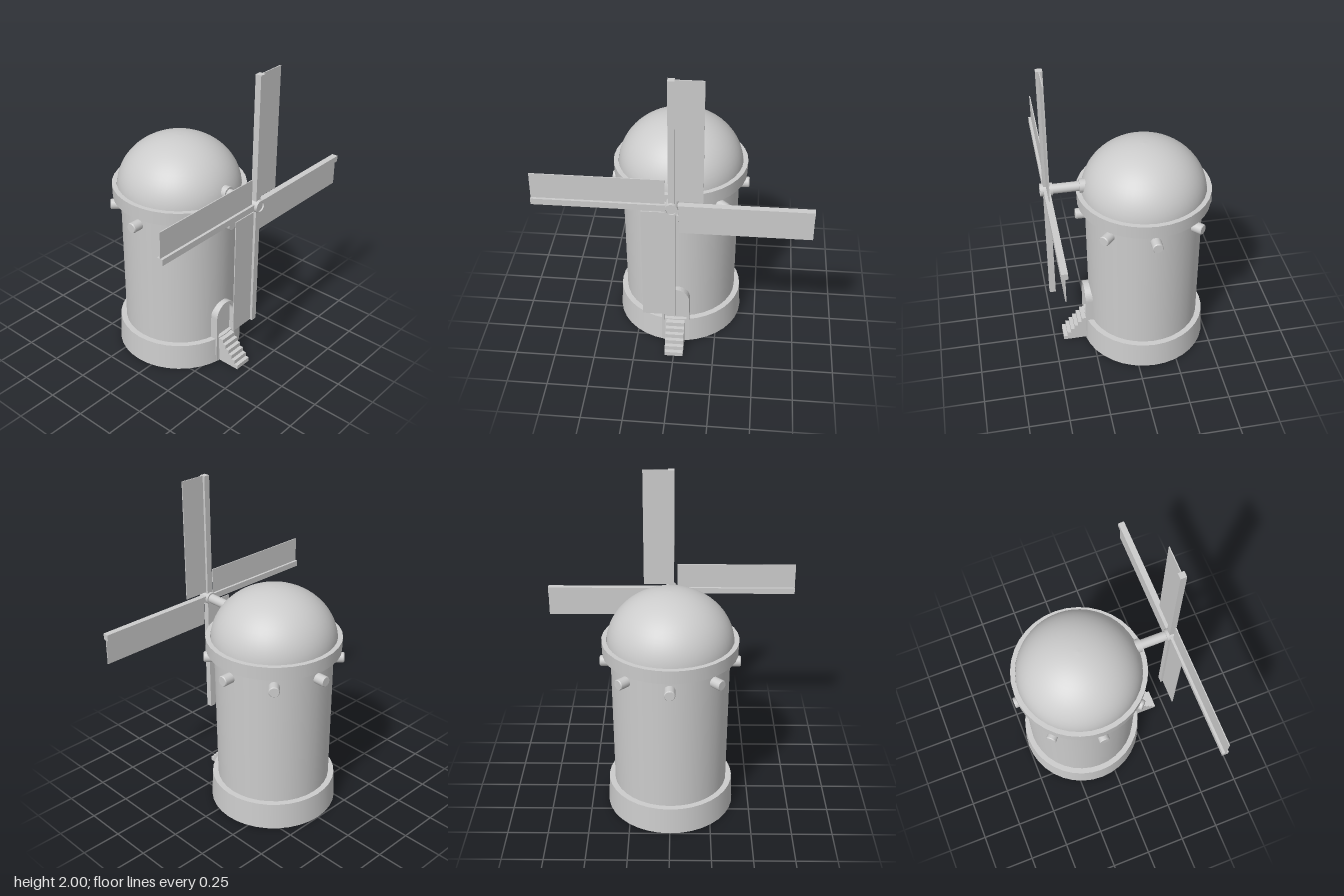
import * as THREE from 'three';

export function createModel() {
  const model = new THREE.Group();
  model.name = 'windmill';
  const plaster = new THREE.MeshStandardMaterial({ color: 0xcccccc, side: THREE.DoubleSide });
  plaster.name = 'pale grey';

  const AXIS_Z = -0.1; // tower axis
  const AXLE_Y = 1.2;

  const add = (name, geometry, parent = model, x = 0, y = 0, z = 0) => {
    const mesh = new THREE.Mesh(geometry, plaster);
    mesh.name = name;
    mesh.position.set(x, y, z);
    parent.add(mesh);
    return mesh;
  };
  const group = (name, parent = model) => {
    const g = new THREE.Group();
    g.name = name;
    parent.add(g);
    return g;
  };
  // Turned part with a hard edge at every profile point
  const turned = (name, profile, parent, segments = 36) => {
    const g = group(name, parent);
    for (let i = 0; i < profile.length - 1; i++) {
      const pair = [profile[i], profile[i + 1]].map(([r, y]) => new THREE.Vector2(r, y));
      add(name + 'Face', new THREE.LatheGeometry(pair, segments), g);
    }
    return g;
  };

  // Tower body, open underneath
  const tower = group('tower');
  tower.position.z = AXIS_Z;
  turned('base', [[0.398, 0], [0.39, 0.175], [0.354, 0.175]], tower);
  turned('wall', [[0.354, 0.175], [0.362, 1.065]], tower);
  turned('rim', [[0.362, 1.065], [0.41, 1.065], [0.413, 1.15], [0.384, 1.15], [0.384, 1.125]], tower);

  // Domed cap
  const dome = [];
  for (let i = 0; i <= 16; i++) {
    const a = (i / 16) * Math.PI / 2;
    dome.push(new THREE.Vector2(0.383 * Math.cos(a), 1.125 + 0.33 * Math.sin(a)));
  }
  add('dome', new THREE.LatheGeometry(dome, 48), tower);

  // Ring of beam ends below the rim
  for (let i = 0; i < 8; i++) {
    const peg = turned('beamEnd', [[0.033, 0.34], [0.033, 0.42], [0.029, 0.426], [0, 0.426]], tower, 16);
    peg.position.y = 0.995;
    peg.rotation.set(Math.PI / 2, 0, -i * Math.PI / 4, 'YXZ');
    peg.rotation.set(Math.PI / 2, i * Math.PI / 4, 0, 'YXZ');
  }

  // Axle, collar and hub
  const axle = group('axle');
  axle.position.y = AXLE_Y;
  axle.rotation.x = Math.PI / 2;
  turned('collar', [[0.042, 0.2], [0.042, 0.295], [0.03, 0.295]], axle, 20);
  turned('shaft', [[0.03, 0.28], [0.03, 0.46]], axle, 20);
  turned('hub', [[0.03, 0.455], [0.039, 0.455], [0.039, 0.53], [0.03, 0.53], [0.03, 0.52], [0, 0.52]], axle, 20);

  // Four sails, each a spar with a thin blade on one side
  const sails = group('sails');
  sails.position.set(0, AXLE_Y, 0.492);
  for (let i = 0; i < 4; i++) {
    const sail = group('sail', sails);
    sail.rotation.z = i * Math.PI / 2;
    add('spar', new THREE.BoxGeometry(0.038, 0.775, 0.038), sail, 0, 0.4125, 0);
    add('blade', new THREE.BoxGeometry(0.165, 0.76, 0.006), sail, 0.095, 0.42, 0);
  }

  // Arched doorway
  const arch = (T, w, top, bottom) => {
    const s = new T();
    s.moveTo(-w, bottom);
    s.lineTo(w, bottom);
    s.lineTo(w, top - w);
    s.absarc(0, top - w, w, 0, Math.PI, false);
    s.lineTo(-w, bottom);
    return s;
  };
  const doorway = group('doorway');
  const frame = arch(THREE.Shape, 0.087, 0.42, 0.01);
  frame.holes.push(arch(THREE.Path, 0.069, 0.402, 0.011));
  add('doorFrame', new THREE.ExtrudeGeometry(frame, { depth: 0.055, bevelEnabled: false, curveSegments: 12 }),
    doorway, 0, 0, 0.237);
  add('door', new THREE.ExtrudeGeometry(arch(THREE.Shape, 0.069, 0.402, 0.175),
    { depth: 0.02, bevelEnabled: false, curveSegments: 12 }), doorway, 0, 0, 0.243);

  // Solid steps, drawn in side profile and extruded across
  const STEPS = 6, rise = 0.028, run = 0.0245;
  const side = new THREE.Shape();
  side.moveTo(0.27, 0);
  side.lineTo(0.44, 0);
  for (let i = 0; i < STEPS; i++) {
    side.lineTo(0.44 - i * run, (i + 1) * rise);
    side.lineTo(i < STEPS - 1 ? 0.44 - (i + 1) * run : 0.27, (i + 1) * rise);
  }
  const steps = add('steps', new THREE.ExtrudeGeometry(side, { depth: 0.116, bevelEnabled: false }), model, 0.058);
  steps.rotation.y = -Math.PI / 2;

  return model;
}
